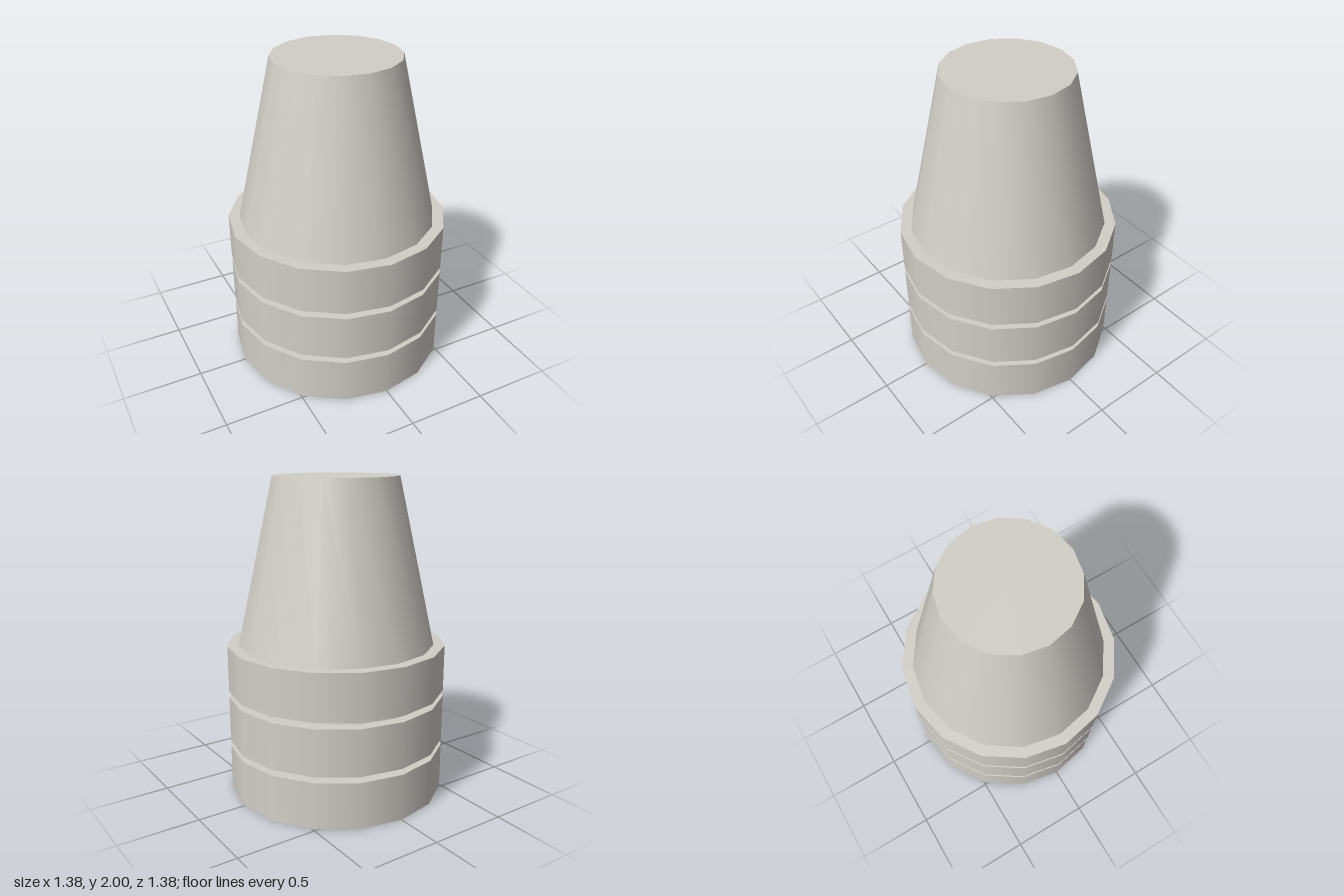
import * as THREE from 'three';
import { mergeGeometries } from 'three/addons/utils/BufferGeometryUtils.js';

const SIDES = 16;

// Revolve each profile edge on its own: smooth around, sharp along the profile
function revolve(profile) {
  const bands = [];
  for (let i = 0; i < profile.length - 1; i++) {
    const pair = [profile[i], profile[i + 1]].map(([r, y]) => new THREE.Vector2(r, y));
    bands.push(new THREE.LatheGeometry(pair, SIDES));
  }
  return mergeGeometries(bands);
}

export function createModel() {
  const group = new THREE.Group();
  group.name = 'cupStack';
  const plastic = new THREE.MeshStandardMaterial({ color: 0xd2cfc8 });
  plastic.name = 'warm grey';

  // Rim band: a thick open ring
  const rimGeometry = revolve([
    [0.62, 0], [0.692, 0], [0.692, 0.295], [0.62, 0.295], [0.62, 0],
  ]);
  // Tapered body: thin hollow shell, closed at the top and open below
  const bodyGeometry = revolve([
    [0, 1.31], [0.375, 1.31], [0.605, 0.295], [0.622, 0.295],
    [0.391, 1.3333], [0, 1.3333],
  ]);

  // Three identical upside-down cups, nested
  for (let i = 0; i < 3; i++) {
    const cup = new THREE.Group();
    cup.name = 'cup' + (i + 1);
    const rim = new THREE.Mesh(rimGeometry, plastic);
    rim.name = 'rim';
    const body = new THREE.Mesh(bodyGeometry, plastic);
    body.name = 'taperedBody';
    cup.add(rim, body);
    cup.position.y = i / 3;
    group.add(cup);
  }
  return group;
}
